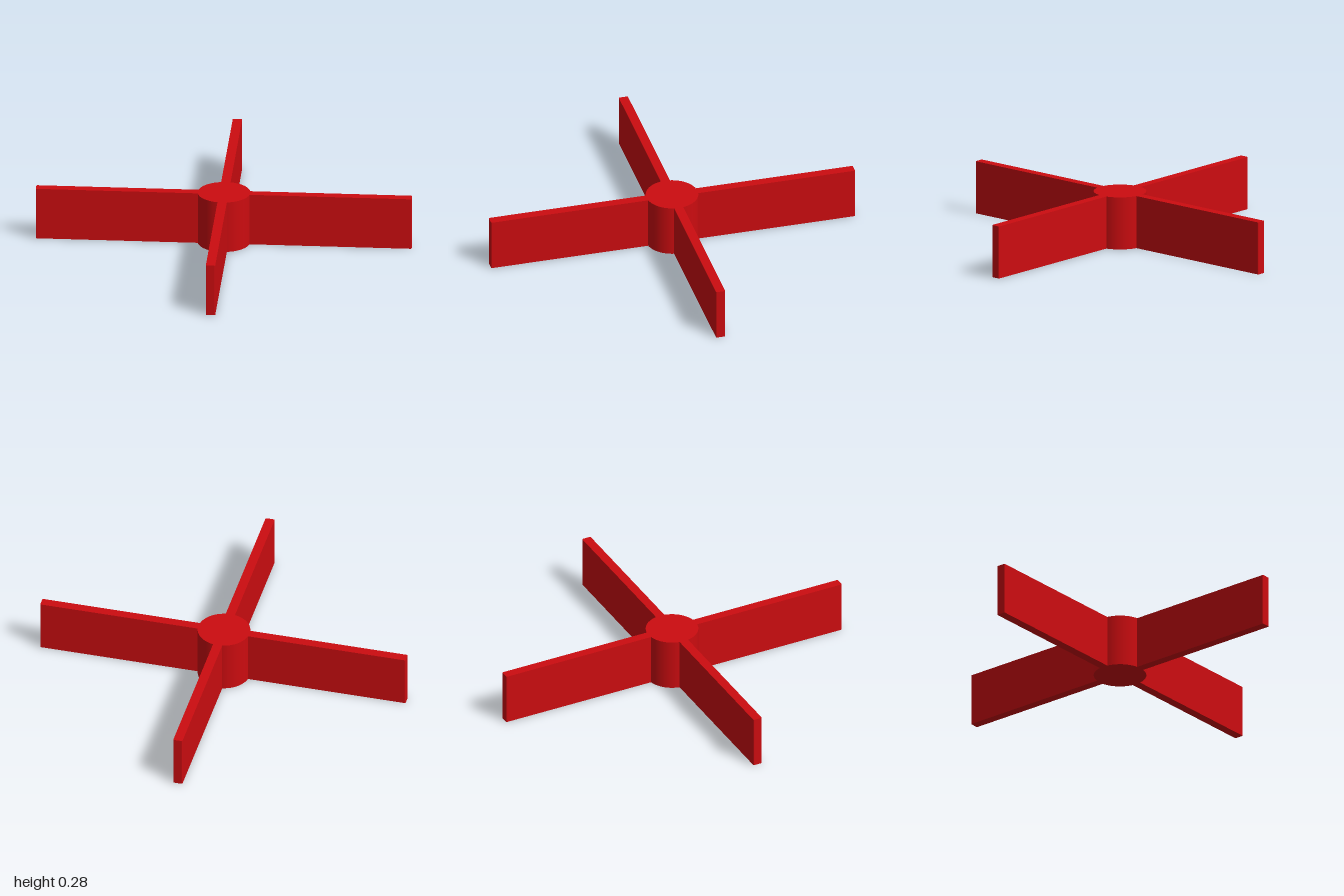
import * as THREE from 'three';

export function createModel() {
  const model = new THREE.Group();
  model.name = 'fourBladeRotor';
  const red = new THREE.MeshStandardMaterial({ color: 0xcc0c10 });
  const height = 0.285, hubRadius = 0.14, half = 0.025, soft = 0.005;

  // Central round hub
  const hub = new THREE.Mesh(new THREE.CylinderGeometry(hubRadius, hubRadius, height, 48), red);
  hub.name = 'hub';
  hub.position.y = height / 2;
  model.add(hub);

  // Blade plan: a thin bar from the hub wall to a tip with slightly eased corners
  const root = 0.137;
  const plan = new THREE.Shape();
  plan.moveTo(root, -half);
  plan.lineTo(1 - soft, -half);
  plan.quadraticCurveTo(1, -half, 1, -half + soft);
  plan.lineTo(1, half - soft);
  plan.quadraticCurveTo(1, half, 1 - soft, half);
  plan.lineTo(root, half);
  plan.closePath();
  const bladeGeometry = new THREE.ExtrudeGeometry(plan, { depth: height, bevelEnabled: false, curveSegments: 3 });
  bladeGeometry.rotateX(-Math.PI / 2);

  // Four blades at right angles
  ['leftBlade', 'backBlade', 'rightBlade', 'frontBlade'].forEach((name, i) => {
    const blade = new THREE.Mesh(bladeGeometry, red);
    blade.name = name;
    blade.rotation.y = i * Math.PI / 2;
    model.add(blade);
  });

  return model;
}
